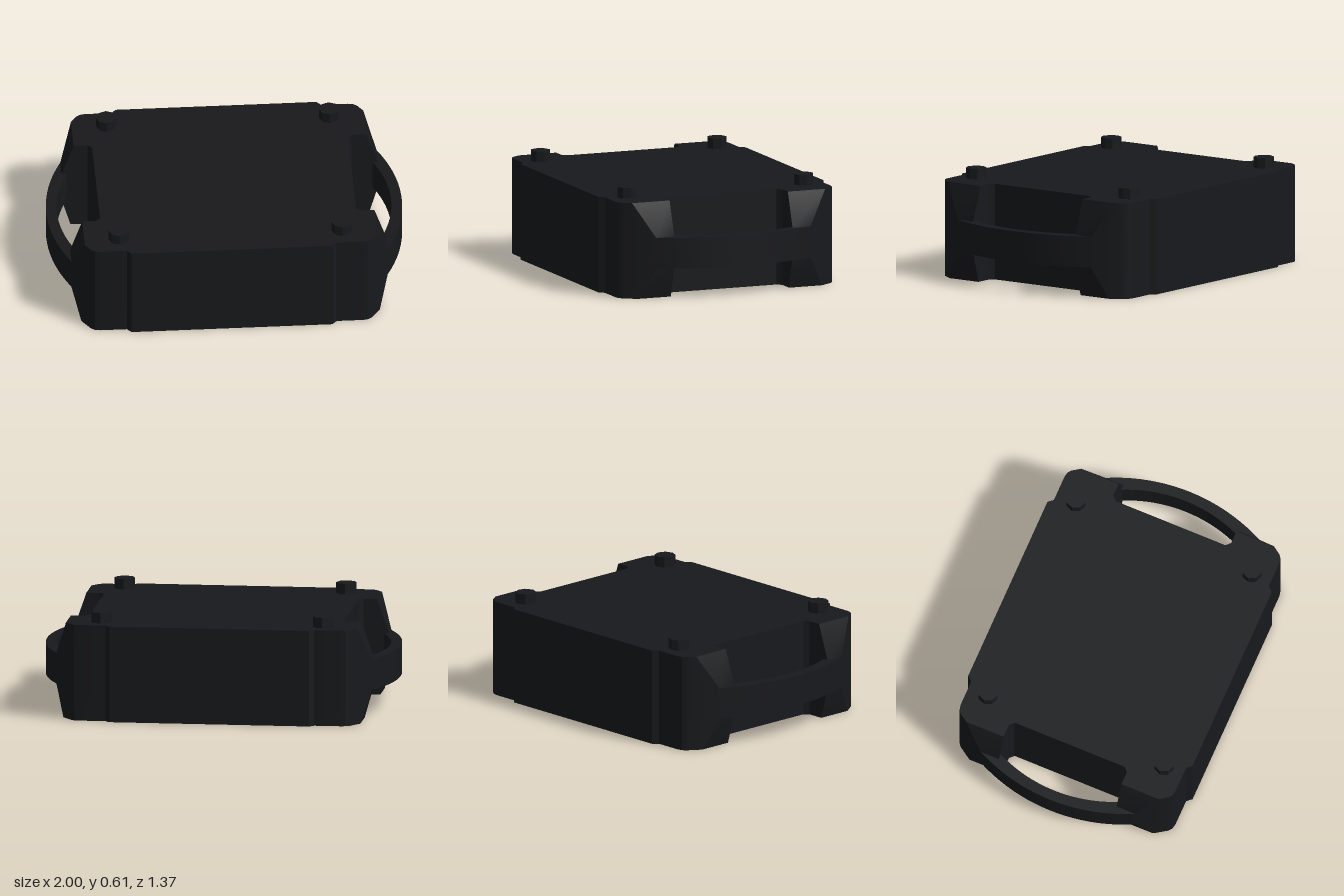
import * as THREE from 'three';
import { toCreasedNormals } from 'three/addons/utils/BufferGeometryUtils.js';

const TOP = 0.545, HANDLE_LOW = 0.175, HANDLE_HIGH = 0.35;
const CLIP = 0.89; // where the handle leaves the corner blocks
// x on an arc that bulges sideways, and z for a given x on the outer one
const outerX = z => Math.sqrt(1.06 ** 2 - z * z) - 0.06;
const outerZ = x => Math.sqrt(1.06 ** 2 - (x + 0.06) ** 2);
const innerX = z => Math.sqrt(0.85 ** 2 - z * z) + 0.09;

// One quarter of the body outline, its corner block cut off at x = limit
function quarterOutline(limit) {
  const points = [[0.72, 0.335], [0.745, 0.36], [limit, 0.36]];
  const start = outerZ(limit);
  for (let i = 0; i <= 5; i++) {
    const z = start + (0.612 - start) * i / 5;
    points.push([outerX(z), z]);
  }
  points.push([0.79, 0.635], [0.77, 0.65], [0.74, 0.656], [0.59, 0.656], [0.565, 0.685]);
  return points;
}

function fullOutline(limit) {
  const q = quarterOutline(limit);
  const mirror = (sx, sz) => q.map(([x, z]) => new THREE.Vector2(x * sx, z * sz));
  return [...mirror(1, 1), ...mirror(-1, 1).reverse(), ...mirror(-1, -1), ...mirror(1, -1).reverse()];
}

// Loft through the outlines at four heights, closed above and below
function bodyGeometry() {
  const levels = [[0, 0.84], [HANDLE_LOW, CLIP], [HANDLE_HIGH, CLIP], [TOP, 0.822]];
  const rings = levels.map(([, limit]) => fullOutline(limit));
  const n = rings[0].length;
  const positions = [], index = [];
  rings.forEach((ring, k) => ring.forEach(p => positions.push(p.x, levels[k][0], p.y)));
  for (let k = 0; k < rings.length - 1; k++) {
    for (let i = 0; i < n; i++) {
      const a = k * n + i, b = k * n + (i + 1) % n;
      index.push(a, a + n, b, b, a + n, b + n);
    }
  }
  const last = (rings.length - 1) * n;
  for (const [a, b, c] of THREE.ShapeUtils.triangulateShape(rings[0], [])) index.push(a, b, c);
  for (const [a, b, c] of THREE.ShapeUtils.triangulateShape(rings[rings.length - 1], [])) {
    index.push(last + a, last + c, last + b);
  }
  const geometry = new THREE.BufferGeometry();
  geometry.setAttribute('position', new THREE.Float32BufferAttribute(positions, 3));
  geometry.setIndex(index);
  return toCreasedNormals(geometry, 0.4);
}

// Curved band between the two arcs, its ends sunk into the corner blocks
function handleGeometry() {
  const points = [], end = outerZ(CLIP), steps = 20;
  for (let i = 0; i <= steps; i++) {
    const z = end * (2 * i / steps - 1);
    points.push(new THREE.Vector2(outerX(z), z));
  }
  points.push(new THREE.Vector2(0.84, 0.45));
  for (let i = 0; i <= steps; i++) {
    const z = 0.37 * (1 - 2 * i / steps);
    points.push(new THREE.Vector2(innerX(z), z));
  }
  points.push(new THREE.Vector2(0.84, -0.45));
  const geometry = new THREE.ExtrudeGeometry(new THREE.Shape(points), {
    depth: HANDLE_HIGH - HANDLE_LOW, bevelEnabled: false,
  });
  geometry.rotateX(Math.PI / 2).translate(0, HANDLE_HIGH, 0);
  return toCreasedNormals(geometry, 0.4);
}

export function createModel() {
  const model = new THREE.Group();
  const material = new THREE.MeshStandardMaterial({ color: 0x18191c });
  const add = (name, geometry) => {
    const mesh = new THREE.Mesh(geometry, material);
    mesh.name = name;
    model.add(mesh);
    return mesh;
  };

  add('body', bodyGeometry());

  // Carrying handles
  const handle = handleGeometry();
  add('leftHandle', handle);
  add('rightHandle', handle).rotation.y = Math.PI;

  // Stacking pegs on the four corners
  const peg = toCreasedNormals(new THREE.CylinderGeometry(0.058, 0.058, 0.07, 8), 0.4);
  for (const x of [-0.627, 0.627]) {
    for (const z of [-0.537, 0.537]) {
      add((z > 0 ? 'front' : 'back') + (x > 0 ? 'Left' : 'Right') + 'Peg', peg).position.set(x, 0.57, z);
    }
  }
  return model;
}
